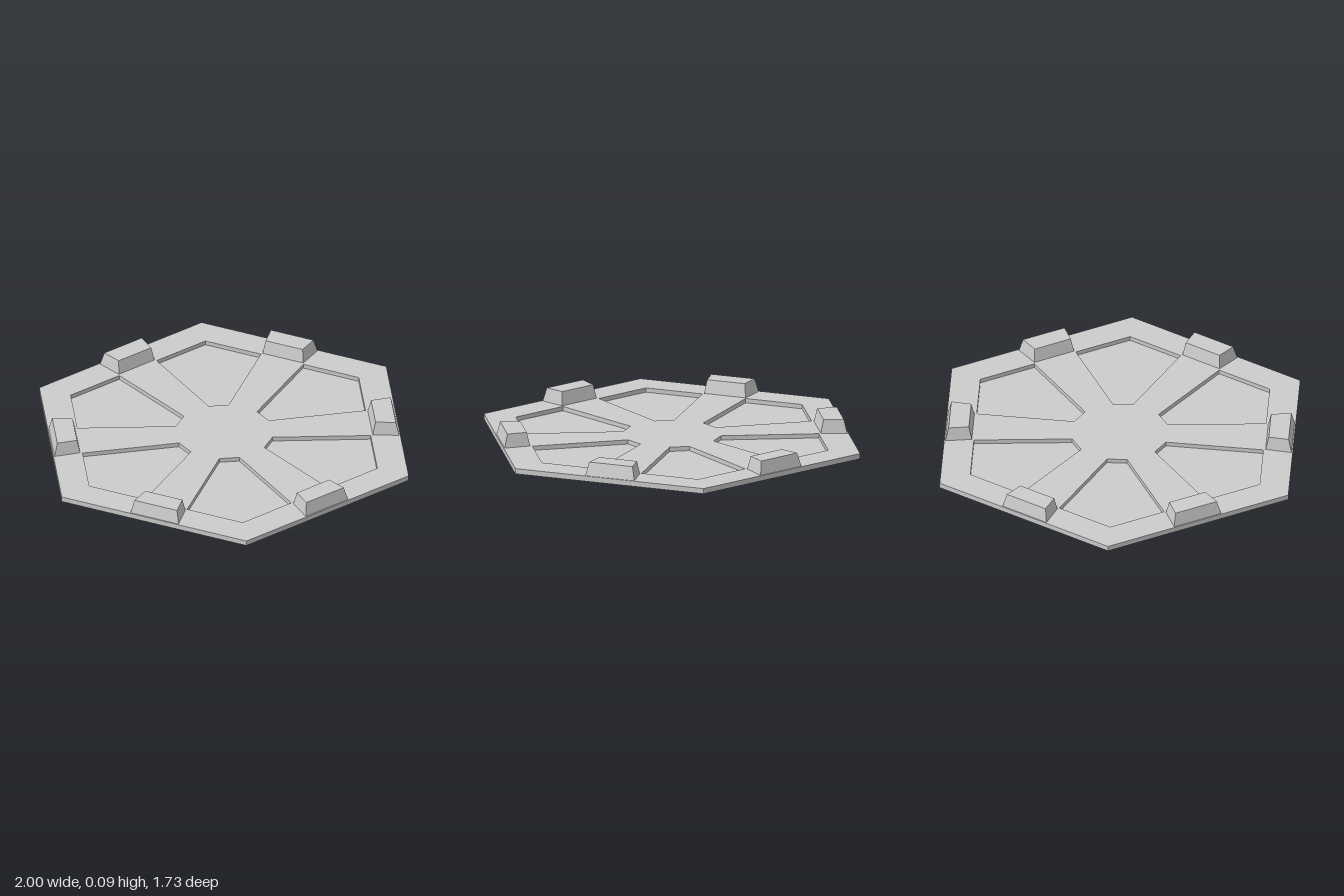
import * as THREE from 'three';

const DECK_Y = 0.027, FLOOR_Y = 0.005, BLOCK_Y = 0.095;

// Outlines lie in plan along +x, counter-clockwise seen from above
const PANEL = [[0.24, -0.05], [0.68, -0.26], [0.83, 0], [0.68, 0.26], [0.24, 0.05]];
const BLOCK_BASE = [[0.73, -0.11], [0.86, -0.13], [0.86, 0.13], [0.73, 0.11]];
const BLOCK_TOP = [[0.745, -0.1], [0.845, -0.115], [0.845, 0.115], [0.745, 0.1]];

const outline = (points, angle = 0) => points.map(([x, y]) =>
  new THREE.Vector2(x, y).rotateAround(new THREE.Vector2(), angle));

// Walls from one outline to another, closed by a cap on the second outline
function shell(from, y0, to, y1) {
  const pos = [];
  const put = (p, y) => pos.push(p.x, y, -p.y);
  from.forEach((a, i) => {
    const j = (i + 1) % from.length;
    put(a, y0); put(from[j], y0); put(to[j], y1);
    put(a, y0); put(to[j], y1); put(to[i], y1);
    if (i > 0 && j > 0) { put(to[0], y1); put(to[i], y1); put(to[j], y1); }
  });
  const g = new THREE.BufferGeometry();
  g.setAttribute('position', new THREE.Float32BufferAttribute(pos, 3));
  g.computeVertexNormals();
  return g;
}

export function createModel() {
  const group = new THREE.Group();
  const material = new THREE.MeshStandardMaterial({
    color: 0xcccccc, flatShading: true, side: THREE.DoubleSide,
  });
  const add = (name, geometry) => {
    const mesh = new THREE.Mesh(geometry, material);
    mesh.name = name;
    group.add(mesh);
  };

  // Hexagonal deck, opened where the panels sink and the hollow blocks rise
  const corners = Array.from({ length: 6 }, (_, i) =>
    new THREE.Vector2(Math.cos(i * Math.PI / 3), Math.sin(i * Math.PI / 3)));
  const deck = new THREE.Shape(corners);

  for (let i = 0; i < 6; i++) {
    const angle = i * Math.PI / 3;

    // Sunken panel pointing at a corner
    const panel = outline(PANEL, angle);
    deck.holes.push(new THREE.Path(panel));
    add('sunkenPanel' + (i + 1), shell(panel, DECK_Y, panel, FLOOR_Y));

    // Tapered hollow block in the middle of an edge
    const base = outline(BLOCK_BASE, angle + Math.PI / 6);
    const top = outline(BLOCK_TOP, angle + Math.PI / 6);
    deck.holes.push(new THREE.Path(base));
    add('edgeBlock' + (i + 1), shell(base, DECK_Y, top, BLOCK_Y));
  }

  add('deck', new THREE.ShapeGeometry(deck).rotateX(-Math.PI / 2).translate(0, DECK_Y, 0));

  // Outer rim, open underneath
  add('rim', new THREE.CylinderGeometry(1, 1, DECK_Y, 6, 1, true, Math.PI / 2)
    .translate(0, DECK_Y / 2, 0));

  return group;
}
